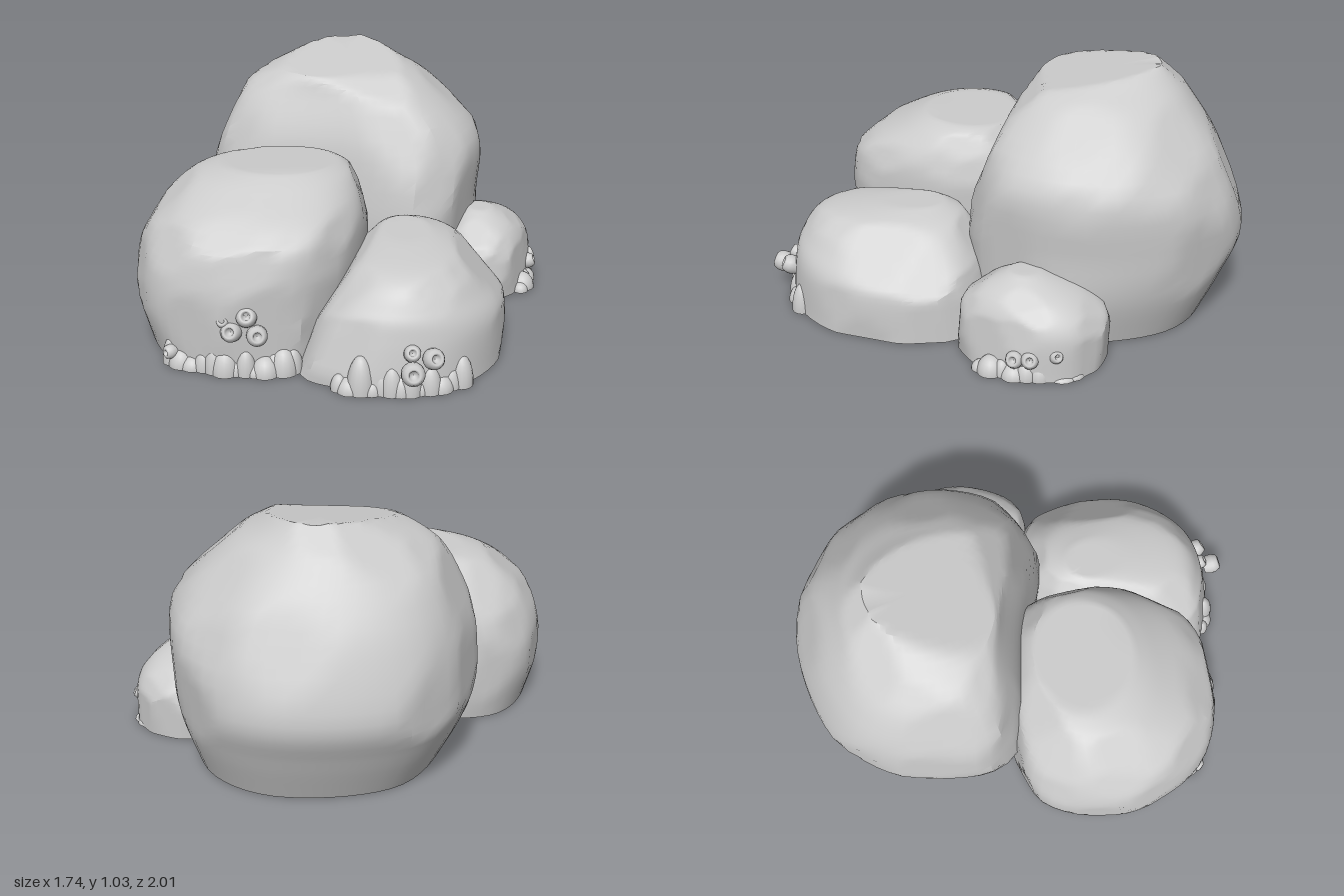
import * as THREE from 'three';
import { toCreasedNormals } from 'three/addons/utils/BufferGeometryUtils.js';

function seeded(seed) {
  let s = seed;
  return () => (s = (s * 16807) % 2147483647) / 2147483647;
}

// Boulder lofted from a plan outline (clockwise from above), rounding off toward the top.
// Each level fits it to [y, xMin, xMax, zMin, zMax]; then a sloping top plane
// (height at z = 0, rise toward the back) and shallow random planes chip it.
function boulderGeometry(outline, levels, seed, chip, [topHeight, topRise]) {
  const N = 56, M = 30, rand = seeded(seed);
  const plan = new THREE.CatmullRomCurve3(outline.map(([x, z]) => new THREE.Vector3(x, 0, z)), true)
    .getSpacedPoints(N).slice(0, N);
  const box = new THREE.Box3().setFromPoints(plan), size = box.getSize(new THREE.Vector3());
  const unit = plan.map((p) => new THREE.Vector2((p.x - box.min.x) / size.x - 0.5, (p.z - box.min.z) / size.z - 0.5));
  const spline = (a, b) => new THREE.CatmullRomCurve3(
    levels.map((l) => new THREE.Vector3(l[a], l[0], l[b])), false, 'catmullrom', 0.45);
  const low = spline(1, 3), high = spline(2, 4);

  const verts = [];
  const ring = (t, shrink) => {
    const a = low.getPoint(t), b = high.getPoint(t);
    for (const p of unit) {
      const q = p.clone().lerp(p.clone().setLength(0.5), t ** 3).multiplyScalar(shrink).addScalar(0.5);
      verts.push(new THREE.Vector3(a.x + (b.x - a.x) * q.x, a.y, a.z + (b.z - a.z) * q.y));
    }
  };
  ring(0, 0);
  for (let j = 0; j <= M; j++) ring(j / M, 1);
  ring(1, 0.5);
  ring(1, 0);

  for (const v of verts) v.y = Math.min(v.y, topHeight - topRise * v.z);

  // chipped facets
  for (let k = 0; k < 34; k++) {
    const y = -0.1 + 0.9 * rand(), ang = k * 2.4 + rand(), r = Math.sqrt(1 - y * y);
    const n = new THREE.Vector3(r * Math.cos(ang), y, r * Math.sin(ang));
    const d = Math.max(...verts.map((v) => v.dot(n))) - chip * (0.4 + rand());
    for (const v of verts) {
      const over = v.dot(n) - d;
      if (over > 0) v.addScaledVector(n, -over);
    }
  }
  const index = [];
  for (let j = 0; j < verts.length / N - 1; j++) {
    for (let i = 0; i < N; i++) {
      const a = j * N + i, b = j * N + (i + 1) % N;
      index.push(a, a + N, b, b, a + N, b + N);
    }
  }
  const geo = new THREE.BufferGeometry().setFromPoints(verts.map((v) => v.setY(Math.max(0, v.y))));
  geo.setIndex(index);
  return toCreasedNormals(geo, 0.5);
}

export function createModel() {
  const stone = new THREE.MeshStandardMaterial({ color: 0xcccccc });
  stone.name = 'paleStone';
  const model = new THREE.Group();
  model.name = 'rockPile';
  const add = (parent, geo, name) => {
    const mesh = new THREE.Mesh(geo, stone);
    mesh.name = name;
    parent.add(mesh);
    return mesh;
  };
  const dome = new THREE.SphereGeometry(1, 16, 8, 0, Math.PI * 2, 0, Math.PI / 2);
  const profile = [[0.034, -0.035], [0.041, -0.012], [0.04, 0.008], [0.032, 0.026], [0.022, 0.032],
    [0.015, 0.026], [0.012, 0.012], [0, 0.008]].map(([x, y]) => new THREE.Vector2(x, y));
  const shell = new THREE.LatheGeometry(profile, 18);

  // uneven, overlapping half domes along the foot of a boulder
  const addCrust = (path, count, tall, seed) => {
    const group = new THREE.Group(), rand = seeded(seed);
    group.name = 'crust';
    const curve = new THREE.CatmullRomCurve3(path.map(([x, z]) => new THREE.Vector3(x, 0, z)));
    for (let i = 0; i < count; i++) {
      const lump = add(group, dome, 'crustLump');
      lump.position.copy(curve.getPoint(i / (count - 1)));
      const w = 0.035 + 0.025 * rand();
      lump.scale.set(w, tall * (0.3 + 0.7 * rand()), w);
    }
    model.add(group);
  };

  // hollow barnacles [x, y, z, size], each facing away from a point inside the boulder
  const addBarnacles = (core, spots) => {
    const group = new THREE.Group(), up = new THREE.Vector3(0, 1, 0);
    group.name = 'barnacles';
    for (const [x, y, z, s] of spots) {
      const mesh = add(group, shell, 'barnacle');
      mesh.position.set(x, y, z);
      mesh.quaternion.setFromUnitVectors(up, mesh.position.clone().sub(core).normalize());
      mesh.scale.setScalar(s);
    }
    model.add(group);
  };

  add(model, boulderGeometry(
    [[0.1, -1], [0.43, -0.85], [0.6, -0.42], [0.5, -0.03], [0.33, 0.11], [-0.1, -0.03], [-0.55, -0.15],
      [-0.62, -0.35], [-0.45, -0.83]],
    [[0, -0.5, 0.54, -0.86, 0.12], [0.2, -0.59, 0.59, -0.95, 0.12], [0.38, -0.63, 0.6, -1.01, 0.12],
      [0.66, -0.58, 0.6, -0.93, 0.08], [0.88, -0.46, 0.4, -0.78, -0.04], [0.97, -0.3, 0.25, -0.71, -0.1],
      [1.04, -0.13, 0.12, -0.65, -0.25]], 11, 0.018, [0.925, 0.16]), 'backBoulder');

  add(model, boulderGeometry(
    [[-0.5, -0.16], [-0.02, -0.1], [0.07, 0.25], [-0.1, 0.67], [-0.35, 0.76], [-0.7, 0.66], [-0.87, 0.3],
      [-0.76, -0.06]],
    [[0, -0.83, 0.04, -0.14, 0.75], [0.2, -0.88, 0.06, -0.17, 0.77], [0.38, -0.86, 0.08, -0.17, 0.76],
      [0.53, -0.79, 0.07, -0.13, 0.71], [0.65, -0.65, 0.02, -0.05, 0.5], [0.7, -0.48, -0.07, 0.02, 0.39]],
    29, 0.014, [0.68, -0.04]), 'leftBoulder');
  addCrust([[-0.7, 0.64], [-0.52, 0.71], [-0.36, 0.735], [-0.22, 0.71]], 13, 0.14, 5);
  addBarnacles(new THREE.Vector3(-0.4, 0.05, 0.4), [[-0.45, 0.19, 0.755, 1], [-0.39, 0.25, 0.75, 1],
    [-0.35, 0.18, 0.77, 1], [-0.48, 0.23, 0.745, 0.65], [-0.7, 0.06, 0.67, 0.7]]);

  add(model, boulderGeometry(
    [[-0.2, 0.65], [0.05, 0.08], [0.45, 0.03], [0.63, 0.17], [0.62, 0.6], [0.4, 0.84], [0.1, 0.89], [-0.15, 0.8]],
    [[0, -0.21, 0.64, -0.02, 0.91], [0.2, -0.13, 0.63, 0.03, 0.88], [0.3, -0.07, 0.56, 0.06, 0.85],
      [0.41, 0.03, 0.45, 0.13, 0.75], [0.46, 0.15, 0.3, 0.24, 0.42]], 47, 0.011, [0.46, 0.02]), 'frontBoulder');
  addCrust([[-0.04, 0.85], [0.12, 0.875], [0.26, 0.875], [0.42, 0.81]], 13, 0.15, 9);
  addBarnacles(new THREE.Vector3(0.22, 0, 0.6), [[0.23, 0.12, 0.955, 1.1], [0.31, 0.15, 0.895, 1],
    [0.23, 0.17, 0.89, 0.8]]);

  add(model, boulderGeometry(
    [[0.6, -0.5], [0.78, -0.42], [0.84, -0.22], [0.66, 0.1], [0.45, 0.05], [0.41, -0.4]],
    [[0, 0.4, 0.84, -0.49, 0.11], [0.18, 0.4, 0.83, -0.49, 0.11], [0.28, 0.44, 0.77, -0.39, 0.04],
      [0.355, 0.54, 0.64, -0.2, -0.1]], 83, 0.008, [0.35, 0]), 'smallBoulder');
  addCrust([[0.77, 0], [0.8, -0.12], [0.8, -0.25], [0.77, -0.36]], 9, 0.08, 17);
  addBarnacles(new THREE.Vector3(0.6, 0, -0.19), [[0.825, 0.085, -0.14, 0.85], [0.83, 0.09, -0.2, 0.85],
    [0.825, 0.11, -0.3, 0.65]]);
  return model;
}
